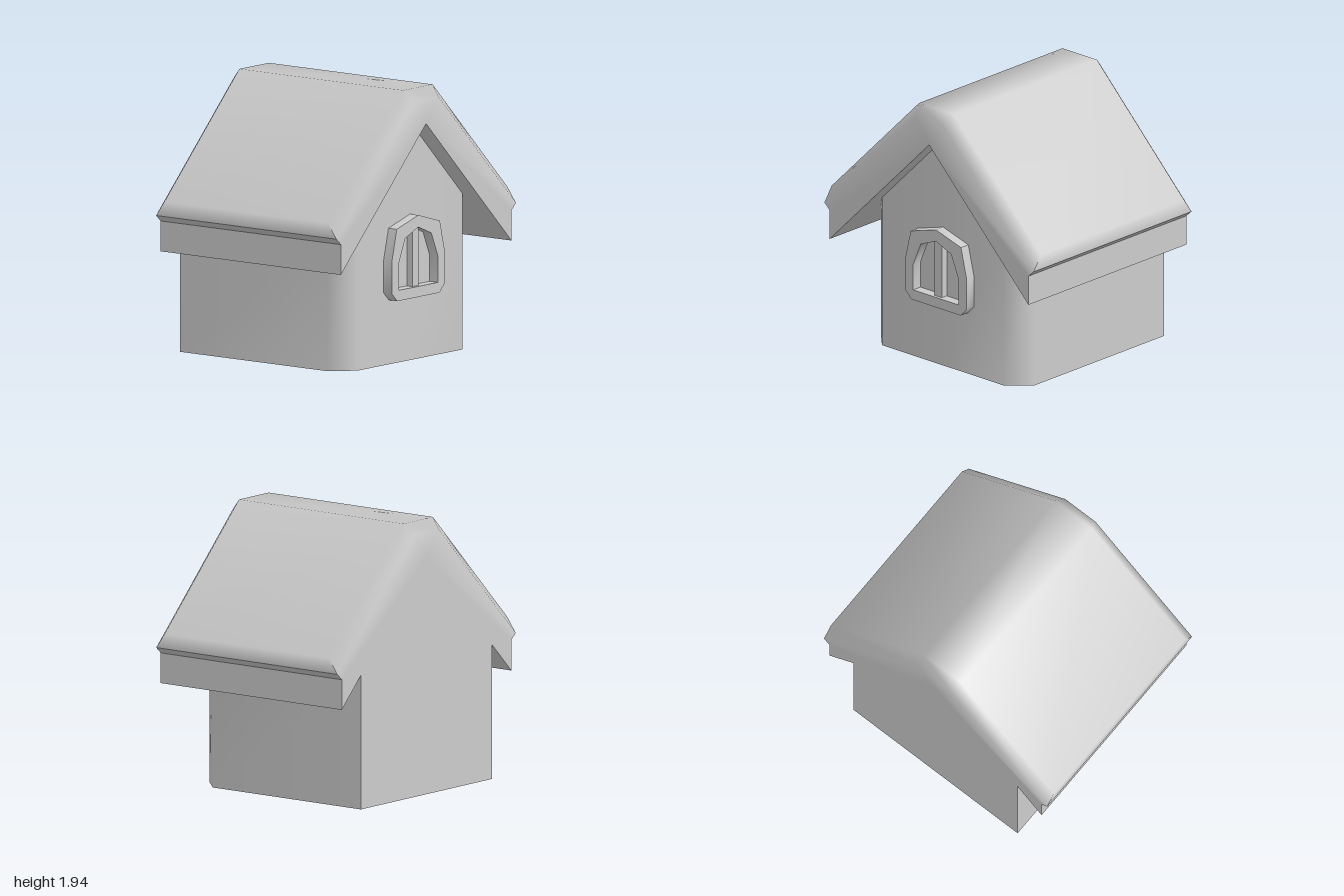
import * as THREE from 'three';
import { toCreasedNormals } from 'three/addons/utils/BufferGeometryUtils.js';

// Polygons become triangles; equal points (with equal 4th smoothing tag) share a normal.
function polyGeometry(faces, sharp = false) {
  const positions = [], index = [], seen = new Map();
  const vertex = (p) => {
    const key = p.join();
    if (!seen.has(key)) {
      seen.set(key, seen.size);
      positions.push(p[0], p[1], p[2]);
    }
    return seen.get(key);
  };
  for (const f of faces) {
    for (let i = 1; i < f.length - 1; i++) index.push(vertex(f[0]), vertex(f[i]), vertex(f[i + 1]));
  }
  let geo = new THREE.BufferGeometry();
  geo.setAttribute('position', new THREE.Float32BufferAttribute(positions, 3));
  geo.setIndex(index);
  if (sharp) geo = geo.toNonIndexed();
  geo.computeVertexNormals();
  return geo;
}

// Faces plus their reflection across an axis (0 = x, 2 = z)
function mirrored(faces, axis) {
  const flip = (p) => p.map((v, i) => (i === axis ? (v === 0 ? 0 : -v) : v));
  return [...faces, ...faces.map((f) => f.map(flip).reverse())];
}

export function createModel() {
  const house = new THREE.Group();
  house.name = 'house';
  const grey = new THREE.MeshStandardMaterial({ color: 0xcccccc });
  grey.name = 'plain grey';
  const add = (name, geo) => {
    const mesh = new THREE.Mesh(geo, grey);
    mesh.name = name;
    house.add(mesh);
    return mesh;
  };

  const D = 0.81;      // half depth of the roof
  const B = 0.735;     // half depth inside the end bevels
  const apex = 1.69;   // underside of the ridge

  // Roof shell: slopes, ridge, eave edges, bevelled gable ends
  const slopes = mirrored([
    [[1, 1.105, B], [1, 1.105, -B], [0.165, 1.94, -B], [0.165, 1.94, B]],
    [[1, 1, D, 1], [1, 1, -D, 1], [1, 1.105, -B], [1, 1.105, B]],
  ], 0);
  const ridge = [[0.165, 1.94, B], [0.165, 1.94, -B], [-0.165, 1.94, -B], [-0.165, 1.94, B]];
  const peak = [0, apex, D], rim = [0.135, 1.865, D], tip = [1, 1, D], nook = [0.95, 0.955, D];
  const halfGable = [
    [tip, [1, 1.105, B], [0.165, 1.94, B], rim],
    [peak, [0.95, 0.74, D], nook],
    [peak, nook, tip],
    [peak, tip, rim],
  ];
  const gable = [
    ...mirrored(halfGable, 0),
    [peak, rim, [-0.135, 1.865, D]],
    [rim, [0.165, 1.94, B], [-0.165, 1.94, B], [-0.135, 1.865, D]],
  ];
  add('roof', polyGeometry([...slopes, ridge, ...mirrored(gable, 2)]));

  // Underside and fascia boards of the roof
  const profile = [[1, 1], [0.95, 0.955], [0.95, 0.74], [0, apex]];
  const under = [];
  for (let i = 0; i < 3; i++) {
    const a = profile[i], b = profile[i + 1];
    under.push([[...b, D], [...b, -D], [...a, -D], [...a, D]]);
  }
  add('roofUnderside', polyGeometry(mirrored(under, 0), true));

  // Walls follow a plan with bevelled front corners, up to the roof underside
  const plan = [
    [0.735, -D], [0.735, 0.515], [0.585, 0.665], [0, 0.665],
    [-0.585, 0.665], [-0.735, 0.515], [-0.735, -D],
  ];
  const top = ([x, z]) => [x, apex - Math.abs(x), z];
  const foot = ([x, z]) => [x, 0, z];
  const walls = [];
  for (let i = 0; i < plan.length - 1; i++) {
    const a = plan[i], b = plan[i + 1];
    walls.push([foot(b), foot(a), top(a), top(b)]);
  }
  add('walls', polyGeometry(walls));
  const backWall = [[-0.735, 0, -D], [-0.735, 0.955, -D], [0, apex, -D], [0.735, 0.955, -D], [0.735, 0, -D]];
  add('backWallAndFloor', polyGeometry([backWall, plan.map(foot)], true));

  // Window frame, arched, with an opening showing the wall behind
  const outline = (right, peakY) => {
    const left = right.map(([x, y]) => [-x, y]).reverse();
    return [...right, [0, peakY], ...left].map(([x, y]) => new THREE.Vector2(x, y));
  };
  const frame = new THREE.Shape(outline([[0.235, 0.455], [0.295, 0.515], [0.295, 0.74], [0.24, 0.965]], 1.035));
  frame.holes.push(new THREE.Path(outline([[0.217, 0.53], [0.217, 0.72], [0.145, 0.89]], 0.95)));
  const frameGeo = new THREE.ExtrudeGeometry(frame, { depth: 0.075, bevelEnabled: false });
  add('windowFrame', toCreasedNormals(frameGeo, 0.9)).position.z = 0.665;

  // Upright bar in the window
  const bar = new THREE.Shape([[-0.035, 0.53], [0.035, 0.53], [0.035, 0.935], [0, 0.95], [-0.035, 0.935]]
    .map(([x, y]) => new THREE.Vector2(x, y)));
  add('windowBar', new THREE.ExtrudeGeometry(bar, { depth: 0.05, bevelEnabled: false })).position.z = 0.665;

  return house;
}
